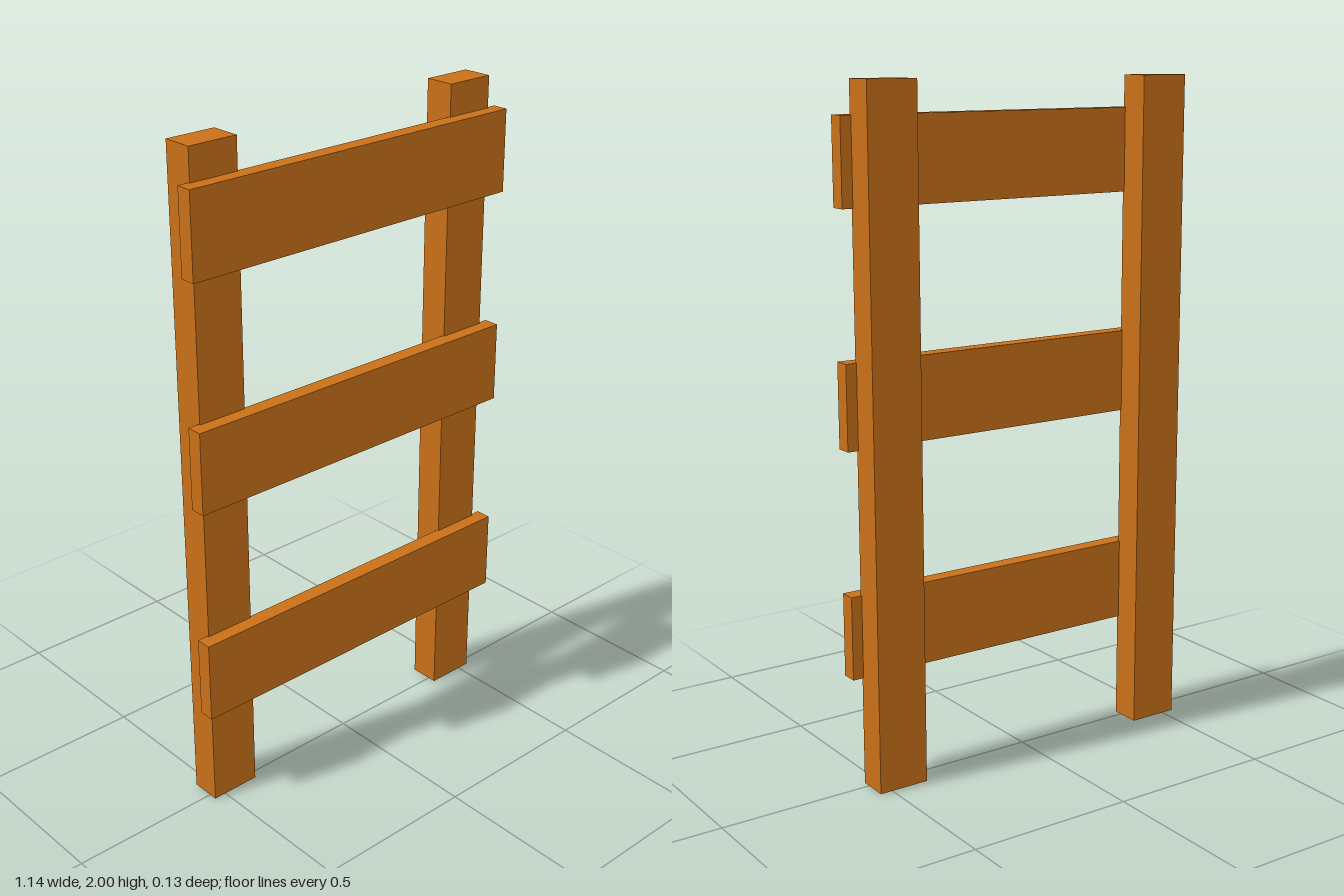
import * as THREE from 'three';

export function createModel() {
  const model = new THREE.Group();
  model.name = 'ladder';
  const wood = new THREE.MeshStandardMaterial({ color: 0xc97018 });

  function addBoard(name, size, position) {
    const mesh = new THREE.Mesh(new THREE.BoxGeometry(...size), wood);
    mesh.name = name;
    mesh.position.set(...position);
    model.add(mesh);
  }

  // Upright posts
  for (const [name, side] of [['leftPost', 1], ['rightPost', -1]]) {
    addBoard(name, [0.154, 2, 0.092], [side * 0.461, 1, -0.021]);
  }

  // Flat rungs, let slightly into the front of the posts
  ['lowerRung', 'middleRung', 'upperRung'].forEach((name, i) => {
    addBoard(name, [1.142, 0.247, 0.048], [0, 0.448 + i * 0.667, 0.043]);
  });

  return model;
}
